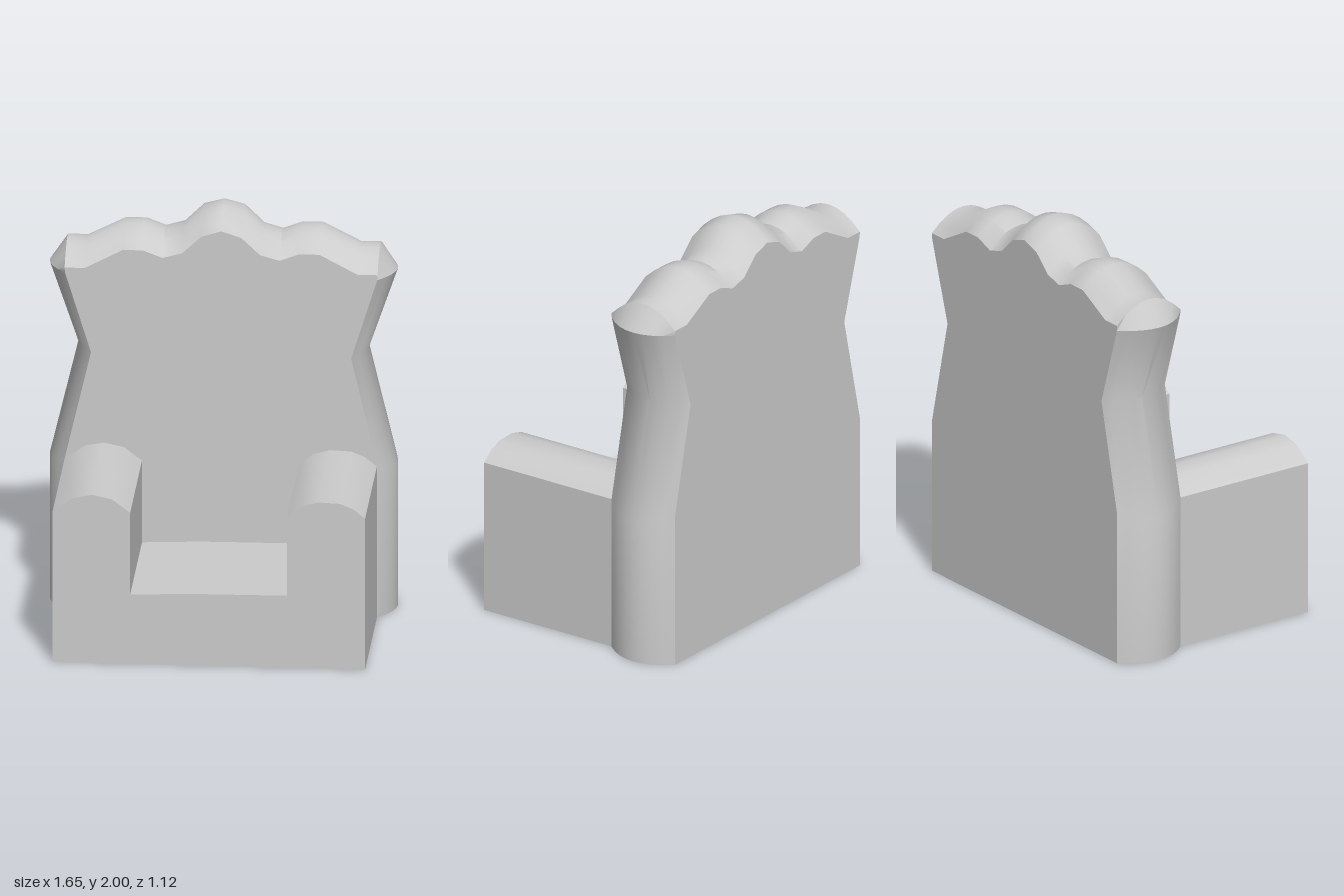
import * as THREE from 'three';
import { toCreasedNormals } from 'three/addons/utils/BufferGeometryUtils.js';

const CREASE = 0.6;

// Half outline of the backrest: x, y at the flat faces, then x, y at the middle of the bulge
const HALF = [
  [0.74, 0, 0.823, 0],
  [0.74, 0.755, 0.823, 0.722],
  [0.615, 1.29, 0.687, 1.29],
  [0.738, 1.685, 0.823, 1.685],
  [0.74, 1.71, 0.74, 1.805],
  [0.645, 1.71, 0.645, 1.805],
  [0.465, 1.805, 0.465, 1.895],
  [0.37, 1.805, 0.37, 1.895],
  [0.277, 1.77, 0.277, 1.86],
  [0.185, 1.795, 0.185, 1.887],
  [0.095, 1.88, 0.095, 1.975],
  [0, 1.91, 0, 2],
];

// Backrest: the same outline swelling outwards between two flat faces
function backrestGeometry() {
  const mirrored = HALF.slice(0, -1).reverse().map(([a, b, c, d]) => [-a, b, -c, d]);
  const outline = [...HALF, ...mirrored];
  const n = outline.length, layers = 8;
  const positions = [], index = [];

  for (let k = 0; k <= layers; k++) {
    const u = 1 - (2 * k) / layers;
    const swell = 1 - u * u;
    for (const [x0, y0, x1, y1] of outline) {
      positions.push(x0 + (x1 - x0) * swell, y0 + (y1 - y0) * swell, -0.373 + 0.185 * u);
    }
  }
  for (let k = 0; k < layers; k++) {
    for (let i = 0; i < n; i++) {
      const j = (i + 1) % n;
      const a = k * n + i, b = a + n, c = (k + 1) * n + j, d = k * n + j;
      index.push(a, b, c, a, c, d);
    }
  }
  // Front and back faces
  const contour = outline.map(([x, y]) => new THREE.Vector2(x, y));
  for (const [a, b, c] of THREE.ShapeUtils.triangulateShape(contour, [])) {
    const o = layers * n;
    index.push(a, b, c, o + a, o + c, o + b);
  }

  const geometry = new THREE.BufferGeometry();
  geometry.setAttribute('position', new THREE.Float32BufferAttribute(positions, 3));
  geometry.setIndex(index);
  return toCreasedNormals(geometry, CREASE);
}

// Seat block and both rounded arms share one profile run from back to front
function seatGeometry() {
  const profile = [
    [-0.74, 0], [0.737, 0],
    [0.737, 0.755], [0.68, 0.8], [0.615, 0.826], [0.515, 0.83], [0.435, 0.808], [0.368, 0.755],
    [0.368, 0.36], [-0.1, 0.357], [-0.374, 0.346],
    [-0.374, 0.755], [-0.46, 0.82], [-0.555, 0.84], [-0.645, 0.822], [-0.74, 0.755],
  ];
  const shape = new THREE.Shape(profile.map(([x, y]) => new THREE.Vector2(x, y)));
  const geometry = new THREE.ExtrudeGeometry(shape, { depth: 0.753, bevelEnabled: false });
  geometry.translate(0, 0, -0.195);
  return toCreasedNormals(geometry, CREASE);
}

export function createModel() {
  const model = new THREE.Group();
  model.name = 'armchair';
  const material = new THREE.MeshStandardMaterial({ color: 0xcccccc });
  const add = (name, geometry) => {
    const mesh = new THREE.Mesh(geometry, material);
    mesh.name = name;
    model.add(mesh);
  };
  add('backrest', backrestGeometry());
  add('seatAndArms', seatGeometry());
  return model;
}
